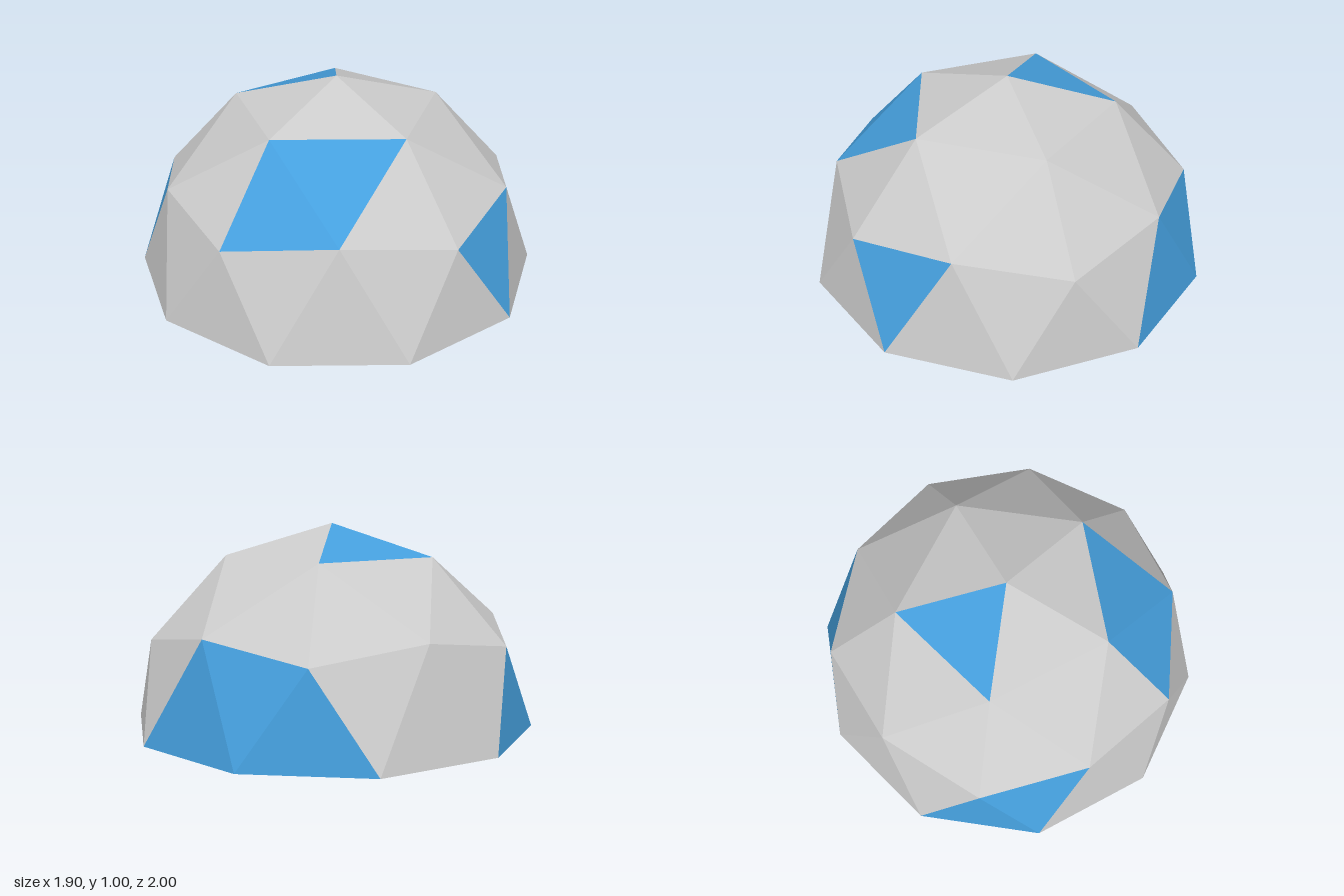
import * as THREE from 'three';

const mat = (color, extra = {}) => new THREE.MeshStandardMaterial({ color, ...extra });

function add(parent, name, geometry, material, x = 0, y = 0, z = 0) {
  const mesh = new THREE.Mesh(geometry, material);
  mesh.name = name;
  mesh.position.set(x, y, z);
  parent.add(mesh);
  return mesh;
}
const box = (w, h, d) => new THREE.BoxGeometry(w, h, d);

// Flat shell made of triangles, each turned to face outward
function shell(triangles) {
  const points = [];
  for (const [a, b, c] of triangles) {
    const n = b.clone().sub(a).cross(c.clone().sub(a));
    points.push(...(n.dot(a) > 0 ? [a, b, c] : [a, c, b]));
  }
  const g = new THREE.BufferGeometry().setFromPoints(points);
  g.computeVertexNormals();
  return g;
}

// Half of a twice-divided icosahedron: grey panels with some blue ones
function buildDome() {
  const dome = new THREE.Group();
  dome.name = 'dome';
  const at = (deg, y) => {
    const a = THREE.MathUtils.degToRad(deg), r = Math.sqrt(1 - y * y);
    return new THREE.Vector3(r * Math.cos(a), y, r * Math.sin(a));
  };
  const apex = at(0, 1);
  const upper = k => at(72 * k, 0.8507);
  const hub = k => at(72 * k, 0.4472);
  const mid = k => at(72 * k + 36, 0.5257);
  const base = deg => at(deg, 0);
  const blue = new Set(['cap2', 'link0', 'left1', 'foot2', 'legL2',
    'foot3', 'legR3', 'midFoot3', 'legL0']);
  const panels = { grey: [], blue: [] };
  for (let k = 0; k < 5; k++) {
    const d = 72 * k;
    const faces = {
      cap: [apex, upper(k), upper(k + 1)],
      link: [upper(k), upper(k + 1), mid(k)],
      left: [hub(k), upper(k), mid(k - 1)],
      right: [hub(k), upper(k), mid(k)],
      foot: [hub(k), base(d - 18), base(d + 18)],
      legL: [hub(k), mid(k - 1), base(d - 18)],
      legR: [hub(k), mid(k), base(d + 18)],
      midFoot: [mid(k), base(d + 18), base(d + 54)],
    };
    for (const [key, face] of Object.entries(faces)) {
      panels[blue.has(key + k) ? 'blue' : 'grey'].push(face);
    }
  }
  const style = { flatShading: true, side: THREE.DoubleSide };
  add(dome, 'greyPanels', shell(panels.grey), mat(0xcccccc, style));
  add(dome, 'bluePanels', shell(panels.blue), mat(0x459fdd, style));
  return dome;
}

const fabric = mat(0x4c5a94), cushion = mat(0x5a69a6), black = mat(0x1c1c1c);
const screenGrey = mat(0x3a3a3a), wood = mat(0x33231f), metal = mat(0x777777), cone = mat(0xb5a642);

// Upholstered seat facing +z with a number of cushions
function buildSeat(name, width, seats) {
  const g = new THREE.Group();
  g.name = name;
  const arm = 0.02, inner = width - 2 * arm, each = inner / seats;
  add(g, 'seatBase', box(inner, 0.026, 0.09), fabric, 0, 0.021, 0);
  const back = add(g, 'backrest', box(inner, 0.07, 0.022), fabric, 0, 0.056, -0.043);
  back.rotation.x = -0.15;
  for (const s of [-1, 1]) {
    add(g, 'armrest', box(arm, 0.05, 0.1), fabric, s * (width - arm) / 2, 0.033, 0);
    for (const z of [-0.04, 0.04]) {
      add(g, 'foot', box(0.008, 0.008, 0.008), wood, s * (width / 2 - 0.01), 0.004, z);
    }
  }
  for (let i = 0; i < seats; i++) {
    const x = (i - (seats - 1) / 2) * each;
    add(g, 'seatCushion', box(each * 0.94, 0.014, 0.078), cushion, x, 0.041, 0.01);
    const pad = add(g, 'backCushion', box(each * 0.9, 0.04, 0.014), cushion, x, 0.068, -0.028);
    pad.rotation.x = -0.15;
  }
  return g;
}

// Floor-standing speaker facing +z
function buildSpeaker() {
  const g = new THREE.Group();
  g.name = 'speaker';
  add(g, 'cabinet', box(0.032, 0.115, 0.034), black, 0, 0.0575, 0);
  [[0.03, 0.011], [0.06, 0.011], [0.09, 0.007]].forEach(([y, r]) => {
    add(g, 'driver', new THREE.CylinderGeometry(r, r, 0.004, 16), cone, 0, y, 0.017).rotation.x = Math.PI / 2;
  });
  return g;
}

// Wide television facing -z
function buildTelevision() {
  const g = new THREE.Group();
  g.name = 'television';
  add(g, 'frame', box(0.322, 0.162, 0.01), black, 0, 0.135, 0);
  add(g, 'screen', box(0.312, 0.152, 0.002), screenGrey, 0, 0.135, -0.005);
  for (const s of [-1, 1]) {
    for (const t of [-1, 1]) {
      const leg = add(g, 'stand', box(0.007, 0.066, 0.007), metal, s * 0.11, 0.03, t * 0.016);
      leg.rotation.x = -t * 0.5;
    }
  }
  return g;
}

// Round pedestal table
function buildTable() {
  const g = new THREE.Group();
  g.name = 'coffeeTable';
  add(g, 'tableTop', new THREE.CylinderGeometry(0.038, 0.038, 0.007, 24), wood, 0, 0.05, 0);
  add(g, 'pedestal', new THREE.CylinderGeometry(0.005, 0.005, 0.046, 12), wood, 0, 0.025, 0);
  add(g, 'tableFoot', new THREE.CylinderGeometry(0.01, 0.015, 0.005, 16), wood, 0, 0.0025, 0);
  return g;
}

export function createModel() {
  const model = new THREE.Group();
  model.name = 'geodesicDome';
  model.add(buildDome());

  // Seating group at the back, screen at the front
  const place = (part, x, z, turn = 0) => {
    part.position.set(x, 0, z);
    part.rotation.y = turn;
    model.add(part);
  };
  place(buildSeat('sofa', 0.2, 2), 0, -0.44);
  place(buildTable(), 0, -0.32);
  place(buildTelevision(), 0, 0.448);
  for (const s of [-1, 1]) {
    place(buildSeat('armchair', 0.115, 1), s * 0.215, -0.42, -s * 0.65);
    place(buildSpeaker(), s * 0.34, -0.41, -s * 0.3);
    place(buildSpeaker(), s * 0.21, 0.465, Math.PI);
  }
  return model;
}
